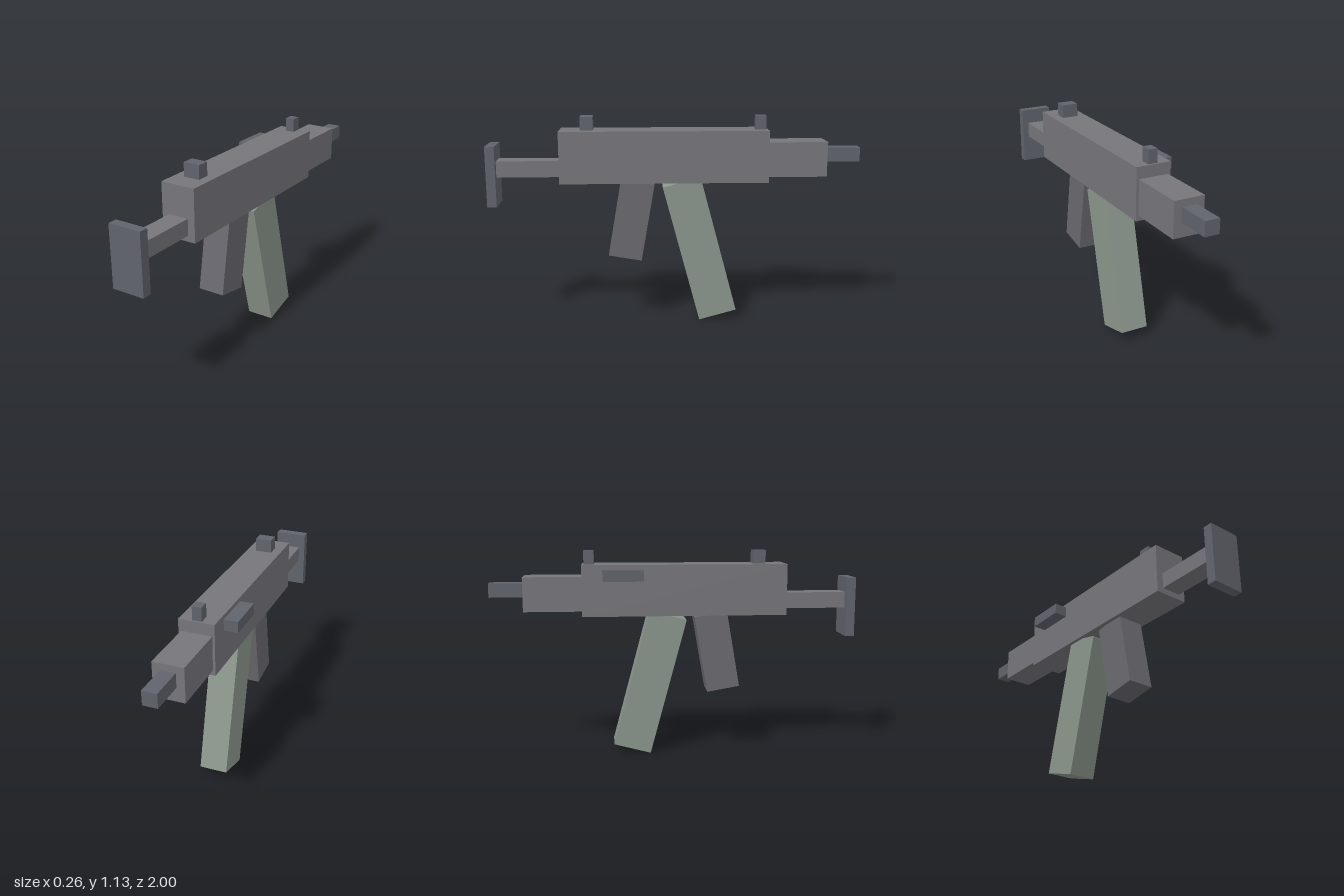
import * as THREE from 'three';

const material = (color) => {
  const m = new THREE.MeshStandardMaterial();
  m.color.set(color);
  return m;
};

export function createModel() {
  const model = new THREE.Group();
  const steel = material(0x75757b);
  const darkSteel = material(0x60636c);
  const gripGrey = material(0x69696f);
  const green = material(0x8b968c);

  // Box from its extents on each axis: [min, max]
  const block = (name, mat, x, y, z) => {
    const mesh = new THREE.Mesh(
      new THREE.BoxGeometry(x[1] - x[0], y[1] - y[0], z[1] - z[0]), mat);
    mesh.position.set((x[0] + x[1]) / 2, (y[0] + y[1]) / 2, (z[0] + z[1]) / 2);
    mesh.name = name;
    model.add(mesh);
    return mesh;
  };

  // Box from centre and size, leaning about the x axis
  const leaning = (name, mat, size, centre, degrees) => {
    const mesh = new THREE.Mesh(new THREE.BoxGeometry(...size), mat);
    mesh.position.set(...centre);
    mesh.rotation.x = THREE.MathUtils.degToRad(degrees);
    mesh.name = name;
    model.add(mesh);
    return mesh;
  };

  // Body and barrel
  block('receiver', steel, [-0.06, 0.13], [0.775, 1.053], [-0.5, 0.615]);
  block('handguard', steel, [-0.047, 0.116], [0.803, 0.99], [-0.815, -0.5]);
  block('barrel', darkSteel, [-0.004, 0.074], [0.878, 0.954], [-1, -0.815]);

  // Stock
  block('stockArm', steel, [-0.02, 0.09], [0.807, 0.894], [0.615, 0.95]);
  block('buttPlate', darkSteel, [-0.054, 0.125], [0.652, 0.977], [0.95, 1]);

  // Sights and charging handle
  block('rearSight', darkSteel, [-0.01, 0.08], [1.053, 1.126], [0.436, 0.503]);
  block('frontSight', darkSteel, [0.01, 0.06], [1.053, 1.126], [-0.49, -0.434]);
  block('chargingHandle', darkSteel, [-0.135, -0.06], [0.97, 1.03], [-0.388, -0.17]);

  // Grip and magazine
  leaning('grip', gripGrey, [0.148, 0.426, 0.181], [0.036, 0.57, 0.236], -9.8);
  leaning('magazine', green, [0.154, 0.775, 0.21], [0.036, 0.402, -0.135], 15);

  return model;
}
